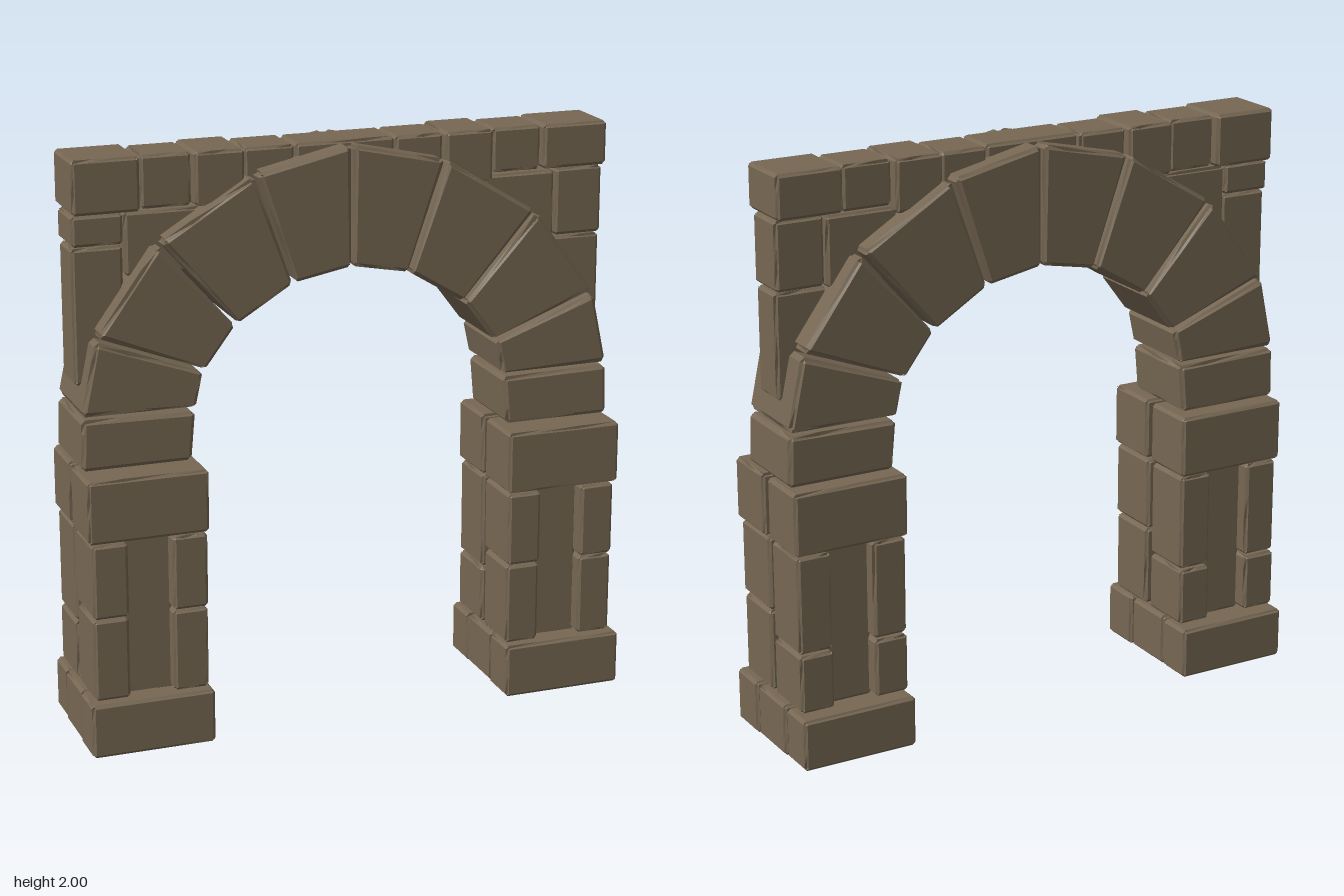
import * as THREE from 'three';

const material = new THREE.MeshStandardMaterial({ color: 0x766753, flatShading: true });

// Repeatable noise in 0..1 from a point, so shared corners wear the same way
function noise(x, y, z) {
  const s = Math.sin(x * 127.1 + y * 311.7 + z * 74.7) * 43758.5453;
  return s - Math.floor(s);
}

// Worn stone: a four-cornered outline (bottom left, bottom right, top right, top left)
// running from z0 to z1, with chamfered and chipped edges
function stone(name, [bl, br, tr, tl], z0, z1, bevel = 0.011) {
  const N = 5;
  const geo = new THREE.BoxGeometry(1, 1, 1, N, N, N);
  const dist = (a, b) => Math.hypot(a[0] - b[0], a[1] - b[1]);
  const size = [
    (dist(bl, br) + dist(tl, tr)) / 2,
    (dist(bl, tl) + dist(br, tr)) / 2,
    z1 - z0,
  ];
  const seed = bl[0] * 3.1 + tr[1] * 5.7 + z0 * 9.3;
  const pos = geo.attributes.position;
  for (let i = 0; i < pos.count; i++) {
    const cell = [pos.getX(i), pos.getY(i), pos.getZ(i)].map((c) => Math.round((c + 0.5) * N));
    const outer = cell.filter((c) => c === 0 || c === N).length;
    const n = noise(cell[0] + seed, cell[1] + seed, cell[2] + seed);
    // Only edge and corner points are worn; a few are chipped deeper
    const wear = outer < 2 ? 0 : bevel * (n > 0.85 ? 0.95 : 0.45 + 0.25 * n);
    const [u, v, w] = cell.map((c, k) => {
      const b = bevel / size[k];
      const steps = [wear / size[k], b, 0.25 + 0.2 * noise(seed, k, 1), 0.6 + 0.15 * noise(seed, k, 2), 1 - b, 1 - wear / size[k]];
      return steps[c];
    });
    const mix = (k) => (1 - v) * ((1 - u) * bl[k] + u * br[k]) + v * ((1 - u) * tl[k] + u * tr[k]);
    pos.setXYZ(i, mix(0), mix(1), z0 + (z1 - z0) * w);
  }
  geo.computeVertexNormals();
  const mesh = new THREE.Mesh(geo, material);
  mesh.name = name;
  return mesh;
}

const rect = (x0, x1, y0, y1) => [[x0, y0], [x1, y0], [x1, y1], [x0, y1]];
const mirror = ([bl, br, tr, tl]) => [br, bl, tl, tr].map(([x, y]) => [-x, y]);

export function createModel() {
  const model = new THREE.Group();
  model.name = 'stoneArchway';

  for (const side of [1, -1]) {
    const label = side > 0 ? 'left' : 'right';
    const place = (q) => (side > 0 ? q : mirror(q));
    const pillar = new THREE.Group();
    pillar.name = label + 'Pillar';
    const add = (name, quad, z0, z1, bevel) => pillar.add(stone(name, place(quad), z0, z1, bevel));

    // Plinth of three slabs
    add('plinthFront', rect(0.535, 0.965, 0, 0.19), 0.1, 0.25);
    add('plinthMiddle', rect(0.54, 0.96, 0, 0.185), -0.107, 0.096);
    add('plinthBack', rect(0.538, 0.955, 0, 0.18), -0.25, -0.111);

    // Recessed core between the corner stones
    add('core', rect(0.655, 0.83, 0.18, 0.8), -0.155, 0.165);

    // Corner stones, split at different heights front and back
    for (const [x0, x1] of [[0.545, 0.667], [0.82, 0.943]]) {
      add('cornerFrontLower', rect(x0, x1, 0.19, 0.477), 0.018, 0.215);
      add('cornerFrontUpper', rect(x0, x1, 0.482, 0.742), 0.012, 0.222);
      add('cornerBackLower', rect(x0, x1, 0.19, 0.395), -0.21, -0.008);
      add('cornerBackUpper', rect(x0, x1, 0.4, 0.742), -0.205, -0.01);
    }

    // Capital stones with a gap between them
    add('capitalFront', rect(0.54, 0.955, 0.748, 0.965), 0.02, 0.23);
    add('capitalBack', rect(0.54, 0.952, 0.748, 0.965), -0.215, -0.008);
    model.add(pillar);

    // Springer and wedge stones of half the arch
    const arch = new THREE.Group();
    arch.name = label + 'Arch';
    const wedges = [
      [[0.568, 0.972], [0.947, 0.972], [0.942, 1.147], [0.553, 1.14]],
      [[0.55, 1.155], [0.942, 1.157], [0.888, 1.41], [0.525, 1.27]],
      [[0.515, 1.28], [0.882, 1.42], [0.67, 1.712], [0.411, 1.418]],
      [[0.4, 1.425], [0.66, 1.72], [0.34, 1.915], [0.21, 1.541]],
      [[0.2, 1.545], [0.33, 1.92], [0.003, 1.992], [0.003, 1.582]],
    ];
    wedges.forEach((q, i) => arch.add(stone(i ? 'archStone' : 'springer', place(q), -0.17, 0.138, 0.014)));
    model.add(arch);
  }

  // Wall stones above the arch: x0, x1, y0, y1, z0, z1
  const wall = new THREE.Group();
  wall.name = 'wallAboveArch';
  const blocks = [
    // top course
    [-0.942, -0.714, 1.818, 2, -0.128, 0.09],
    [-0.708, -0.535, 1.82, 1.998, -0.108, 0.07],
    [-0.531, -0.36, 1.82, 2, -0.13, 0.096],
    [-0.355, -0.18, 1.83, 1.996, -0.108, 0.07],
    [-0.176, 0.172, 1.84, 1.998, -0.095, 0.072],
    [0.176, 0.346, 1.83, 1.996, -0.108, 0.07],
    [0.35, 0.522, 1.82, 2, -0.13, 0.09],
    [0.527, 0.704, 1.845, 1.998, -0.108, 0.07],
    [0.708, 0.942, 1.848, 2, -0.125, 0.09],
    // right haunch
    [-0.942, -0.768, 1.71, 1.814, -0.1, 0.07],
    [-0.764, -0.5, 1.6, 1.814, -0.1, 0.066],
    [-0.942, -0.768, 1.245, 1.704, -0.085, 0.06],
    // left haunch
    [0.765, 0.938, 1.608, 1.842, -0.095, 0.066],
    [0.5, 0.76, 1.6, 1.838, -0.1, 0.066],
    [0.75, 0.938, 1.243, 1.602, -0.08, 0.055],
  ];
  for (const [x0, x1, y0, y1, z0, z1] of blocks) {
    wall.add(stone('wallStone', rect(x0, x1, y0, y1), z0, z1));
  }
  model.add(wall);

  return model;
}
